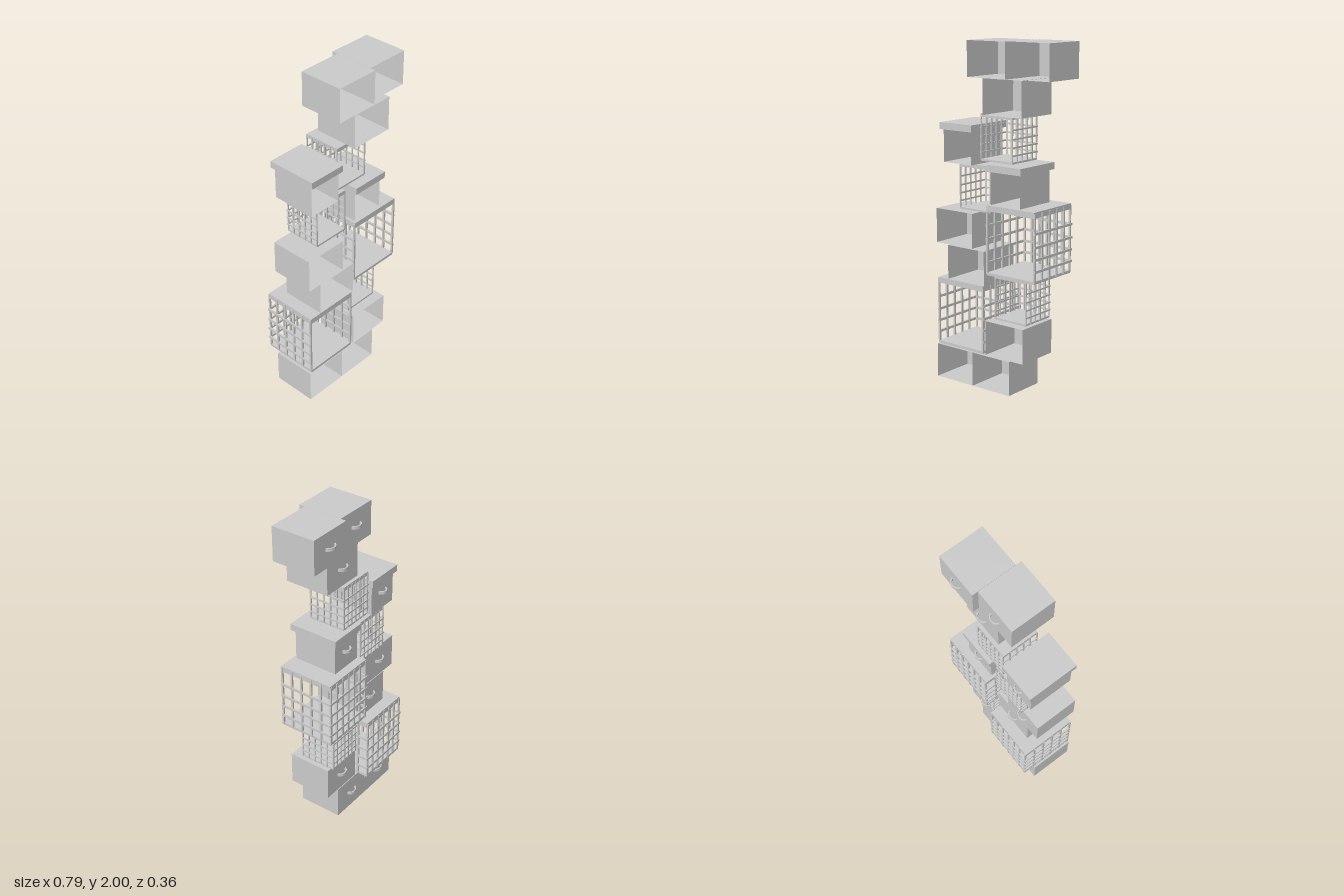
import * as THREE from 'three';
import { mergeGeometries } from 'three/addons/utils/BufferGeometryUtils.js';

const grey = new THREE.MeshStandardMaterial({ color: 0xcccccc, side: THREE.DoubleSide });

function add(parent, name, geometry) {
  const mesh = new THREE.Mesh(geometry, grey);
  mesh.name = name;
  parent.add(mesh);
  return mesh;
}

// box given by its lower and upper limits
function block(x0, x1, y0, y1, z0, z1) {
  return new THREE.BoxGeometry(x1 - x0, y1 - y0, z1 - z0)
    .translate((x0 + x1) / 2, (y0 + y1) / 2, (z0 + z1) / 2);
}

// thin-walled box without its front face
function openBox(w, h, d) {
  const g = new THREE.BoxGeometry(w, h, d);
  const index = Array.from(g.index.array);
  index.splice(24, 6);
  g.setIndex(index);
  g.clearGroups();
  return g.translate(0, h / 2, 0);
}

// bowed strap handle, lying flat and bulging towards -z
function handleGeometry(width) {
  const r = width / 2, depth = 0.028, t = 0.007;
  const s = new THREE.Shape();
  s.moveTo(-r, 0);
  s.bezierCurveTo(-r * 0.6, depth * 1.33, r * 0.6, depth * 1.33, r, 0);
  s.lineTo(r - t * 1.4, 0);
  s.bezierCurveTo(r * 0.5, (depth - t) * 1.33, -r * 0.5, (depth - t) * 1.33, -r + t * 1.4, 0);
  s.closePath();
  const g = new THREE.ExtrudeGeometry(s, { depth: 0.018, bevelEnabled: false, curveSegments: 10 });
  return g.translate(0, 0, -0.009).rotateX(-Math.PI / 2);
}

// open-fronted drawer: centre x, base y, back z
function drawer(x, y, back, w = 0.27, h = 0.203, d = 0.27, handleWidth = 0.08) {
  const g = new THREE.Group();
  g.name = 'drawer';
  add(g, 'drawerShell', openBox(w, h, d));
  add(g, 'handle', handleGeometry(handleWidth)).position.set(0, 0.11, -d / 2);
  g.position.set(x, y, back + d / 2);
  return g;
}

// drawer with an overhanging lid
function liddedBox(x, y, back, lidX) {
  const g = drawer(x, y, back, 0.205, 0.2, 0.272, 0.07);
  g.name = 'liddedBox';
  add(g, 'lid', block(-0.118, 0.118, 0.19, 0.23, -0.155, 0.155)).position.x = lidX - x;
  return g;
}

// lattice crate with three barred sides, solid floor and roof, open front
function crate(x, y, z, scale) {
  const g = new THREE.Group();
  g.name = 'crate';
  const W = 0.175, D = 0.174, H = 0.405, t = 0.006, e = 0.007;
  const bars = [];
  // upright bars of the back, then of both sides
  for (let i = 0; i <= 6; i++) {
    const px = -W + e + t + (i / 6) * 2 * (W - e - t);
    bars.push(block(px - t, px + t, 0.005, H - 0.008, -D + 0.003, -D + 0.012));
  }
  for (const s of [-1, 1]) {
    for (let i = 1; i <= 5; i++) {
      const pz = -D + t + (i / 5) * 2 * (D - t);
      const cx = s * (W - 0.008);
      bars.push(block(cx - 0.005, cx + 0.005, 0.005, H - 0.008, pz - t, pz + t));
    }
  }
  // horizontal rails, closer together towards the floor
  for (const h of [0.07, 0.138, 0.208, 0.285]) {
    bars.push(block(-W, W, h - 0.007, h + 0.007, -D, -D + 0.01));
    for (const s of [-1, 1]) {
      const cx = s * (W - 0.005);
      bars.push(block(cx - 0.005, cx + 0.005, h - 0.007, h + 0.007, -D, D));
    }
  }
  add(g, 'lattice', mergeGeometries(bars));
  add(g, 'floor', block(-W + e, W - e, 0, 0.016, -D + e, D));
  add(g, 'roof', block(-W + e, W - e, H - 0.034, H, -D + e, D));
  g.position.set(x, y, z);
  g.scale.setScalar(scale);
  return g;
}

export function createModel() {
  const model = new THREE.Group();
  model.name = 'stackedShelf';

  // plain drawers: centre x, base y, back z
  for (const [x, y, back] of [
    [-0.26, 0, -0.095], [0.012, 0, -0.095], [0.11, 0.21, -0.095],
    [-0.17, 0.616, -0.095], [-0.255, 0.824, -0.095],
    [0.1, 1.595, -0.092], [-0.015, 1.797, -0.095], [0.256, 1.797, -0.13],
  ]) model.add(drawer(x, y, back));

  // lidded boxes
  model.add(liddedBox(0.103, 1.09, -0.12, 0.108));
  model.add(liddedBox(-0.242, 1.3, -0.116, -0.24));

  // lattice crates: centre x, base y, centre z, scale
  for (const [x, y, z, s] of [
    [-0.215, 0.21, 0.001, 1], [0.151, 0.685, -0.004, 1],
    [0.106, 0.413, -0.002, 0.66], [-0.15, 1.03, -0.002, 0.665], [0.008, 1.326, -0.002, 0.665],
  ]) model.add(crate(x, y, z, s));

  return model;
}
